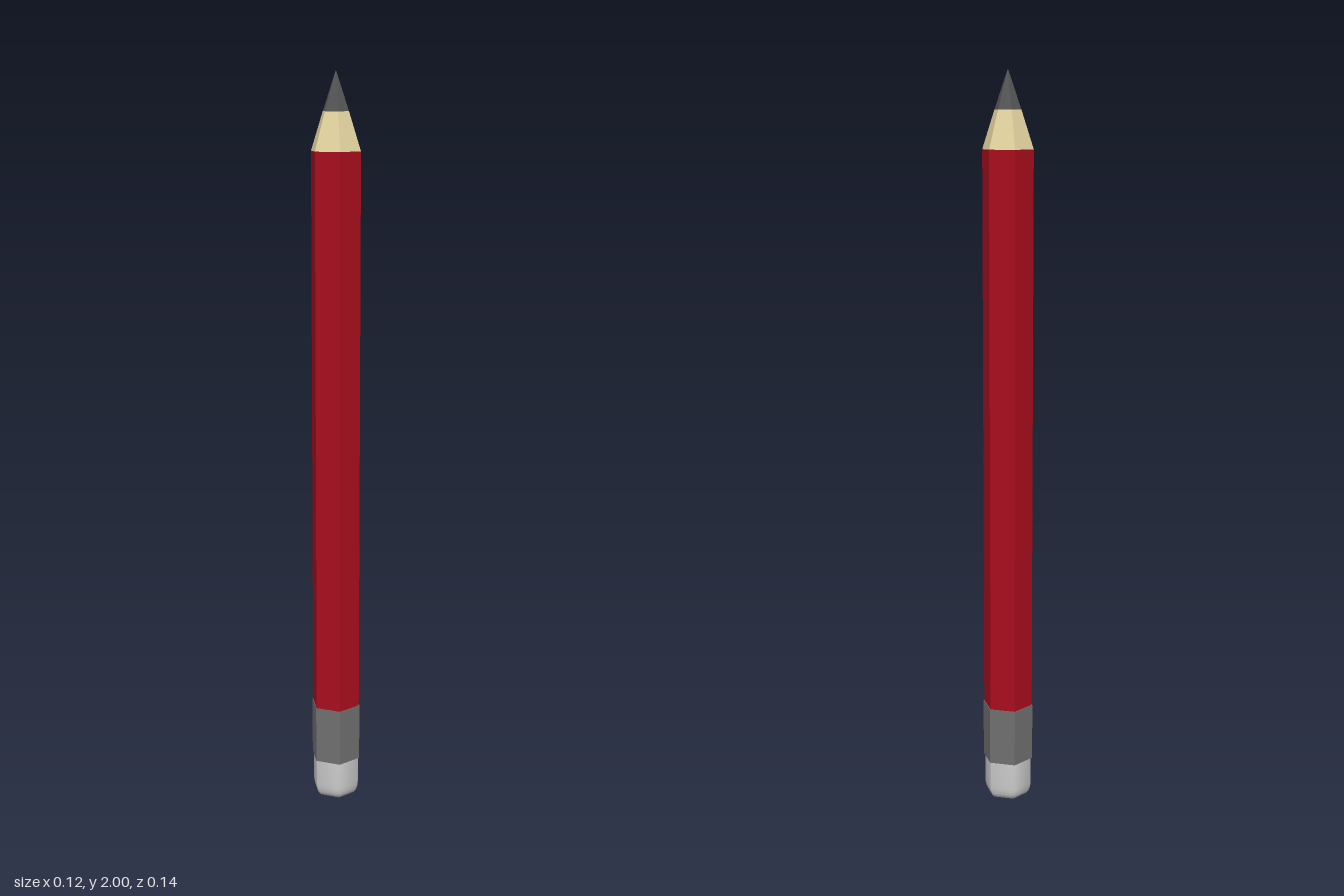
import * as THREE from 'three';
import { toCreasedNormals } from 'three/addons/utils/BufferGeometryUtils.js';

const R = 0.069; // corner radius of the hexagonal shaft
const SIDES = 6;

// Hexagonal segment between two heights, corners on the z axis
function hexPart(name, color, y0, y1, r0, r1) {
  const geometry = new THREE.CylinderGeometry(r1, r0, y1 - y0, SIDES);
  const material = new THREE.MeshStandardMaterial({ color, flatShading: true });
  const mesh = new THREE.Mesh(geometry, material);
  mesh.position.y = (y0 + y1) / 2;
  mesh.name = name;
  return mesh;
}

// Hexagon outline with rounded corners
function roundedHexagon(radius, corner) {
  const shape = new THREE.Shape();
  const d = radius - corner / Math.cos(Math.PI / 6);
  for (let i = 0; i < SIDES; i++) {
    const a = Math.PI / 2 + (i * Math.PI) / 3;
    shape.absarc(d * Math.cos(a), d * Math.sin(a), corner, a - Math.PI / 6, a + Math.PI / 6, false);
  }
  return shape;
}

// Eraser: rounded hexagonal block, its upper end hidden in the ferrule
function makeEraser() {
  const bevel = 0.016, thickness = 0.035, depth = 0.11;
  const geometry = new THREE.ExtrudeGeometry(roundedHexagon(R - bevel / Math.cos(Math.PI / 6), 0.003), {
    depth, bevelSize: bevel, bevelThickness: thickness, bevelSegments: 5, curveSegments: 4,
  });
  geometry.rotateX(Math.PI / 2);
  geometry.translate(0, depth + thickness, 0);
  const mesh = new THREE.Mesh(
    toCreasedNormals(geometry, 0.6),
    new THREE.MeshStandardMaterial({ color: 0xcccccc }),
  );
  mesh.name = 'eraser';
  return mesh;
}

export function createModel() {
  const pencil = new THREE.Group();
  pencil.name = 'pencil';
  pencil.add(
    makeEraser(),
    hexPart('ferrule', 0x707070, 0.11, 0.27, 0.071, 0.071),
    hexPart('shaft', 0xaa0d1e, 0.2, 1.8, R, R),
    hexPart('sharpenedWood', 0xe3d3a0, 1.8, 1.9, R, 0.036),
    hexPart('leadTip', 0x555555, 1.9, 2, 0.036, 0.001),
  );
  return pencil;
}
